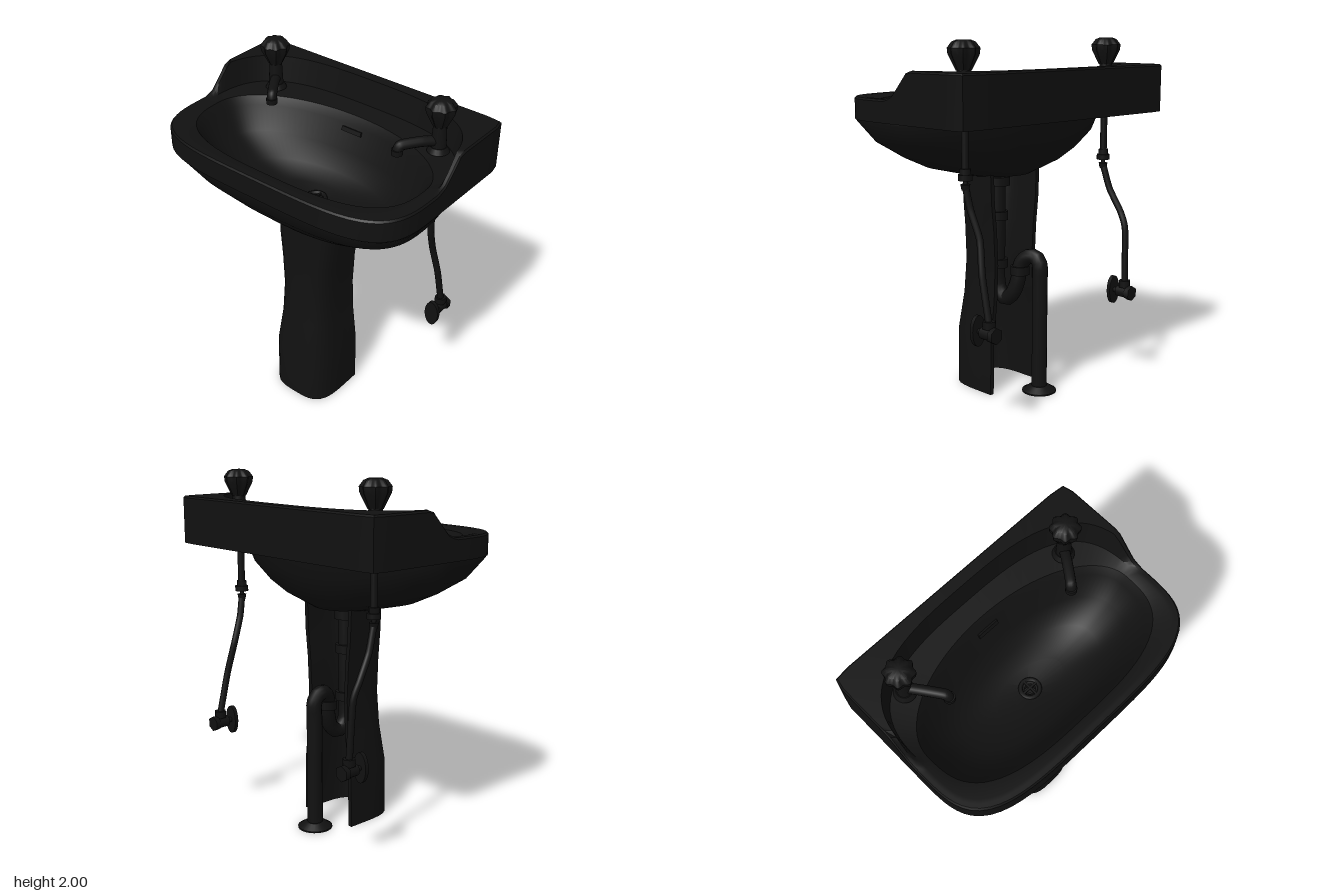
import * as THREE from 'three';
import { toCreasedNormals } from 'three/addons/utils/BufferGeometryUtils.js';

const glaze = new THREE.MeshStandardMaterial({ color: 0x111111, side: THREE.DoubleSide });
const V = (x, y, z) => new THREE.Vector3(x, y, z);

function add(parent, name, geometry, x = 0, y = 0, z = 0) {
  const mesh = new THREE.Mesh(geometry, glaze);
  mesh.name = name;
  mesh.position.set(x, y, z);
  parent.add(mesh);
  return mesh;
}

// Skin a list of closed loops of equal length
function loft(loops, crease = 0.6) {
  const n = loops[0].length, pos = [], idx = [];
  loops.forEach(loop => loop.forEach(p => pos.push(p.x, p.y, p.z)));
  for (let j = 0; j < loops.length - 1; j++) {
    for (let i = 0; i < n; i++) {
      const a = j * n + i, b = j * n + (i + 1) % n;
      idx.push(a, a + n, b, b, a + n, b + n);
    }
  }
  const g = new THREE.BufferGeometry();
  g.setAttribute('position', new THREE.Float32BufferAttribute(pos, 3));
  g.setIndex(idx);
  return toCreasedNormals(g, crease);
}

// Superellipse loop with its own squareness at the front and the back
function ring([hx, front, back, y, nf = 4, nb = 40], count = 96) {
  const z0 = 0.04, pts = [];
  for (let i = 0; i < count; i++) {
    const u = i / count * Math.PI * 2, c = Math.cos(u), s = Math.sin(u);
    const n = s >= 0 ? nf : nb;
    const r = Math.pow(Math.abs(c) ** n + Math.abs(s) ** n, -1 / n);
    const z = z0 + r * s * (s >= 0 ? front - z0 : z0 - back);
    pts.push(V(hx * r * c, typeof y === 'function' ? y(z) : y, z));
  }
  return pts;
}

// Rim height: low at the front, sweeping up to the splashback
function rimHeight(z) {
  if (z > 0.06) return 1.7;
  if (z > 0) return 1.7 + 0.025 * (0.06 - z) / 0.06;
  return Math.min(1.85, 1.725 - z * 1.05);
}

function tube(points, radius, tension = 0.3) {
  const curve = new THREE.CatmullRomCurve3(points.map(p => V(...p)), false, 'catmullrom', tension);
  return new THREE.TubeGeometry(curve, 64, radius, 12);
}

function makeBasin() {
  const g = new THREE.Group();
  g.name = 'basin';
  add(g, 'basinTop', loft([
    [0.75, 0.48, -0.48, 1.67],
    [0.75, 0.48, -0.48, 1.58],
    [0.79, 0.52, -0.52, 1.58],
    [0.79, 0.52, -0.52, z => rimHeight(z) - 0.01],
    [0.782, 0.512, -0.512, rimHeight],
    [0.765, 0.49, -0.45, rimHeight, 4, 3],
    [0.745, 0.475, -0.43, 1.7, 4, 3],
    [0.7, 0.43, -0.32, 1.685, 3, 2],
    [0.67, 0.4, -0.29, 1.64, 3, 2],
    [0.6, 0.34, -0.24, 1.5, 2.6, 2],
    [0.45, 0.26, -0.17, 1.39, 2.4, 2],
    [0.22, 0.15, -0.07, 1.34, 2, 2],
    [0.03, 0.07, 0.01, 1.325, 2, 2],
  ].map(r => ring(r))));
  add(g, 'bowlUnderside', loft([
    [0.01, 0.05, 0.03, 1.24, 2, 2],
    [0.2, 0.23, -0.14, 1.25, 2.4, 2],
    [0.45, 0.32, -0.21, 1.31, 2.6, 2],
    [0.58, 0.38, -0.255, 1.37, 2.8, 2],
    [0.72, 0.455, -0.29, 1.46, 3.2, 2],
    [0.785, 0.51, -0.315, 1.57, 4, 2],
    [0.785, 0.515, -0.32, 1.61, 4, 2],
    [0.74, 0.47, -0.32, 1.68, 4, 2],
  ].map(r => ring(r)), 0.9));
  // Waste fitting and overflow slot
  const waste = add(g, 'drainRing', new THREE.TorusGeometry(0.052, 0.012, 8, 24), 0, 1.335, 0.04);
  waste.rotation.x = Math.PI / 2;
  for (let i = 0; i < 2; i++) {
    add(g, 'drainGrate', new THREE.BoxGeometry(0.1, 0.01, 0.012), 0, 1.34, 0.04).rotation.y = i * Math.PI / 2;
  }
  add(g, 'overflowSlot', new THREE.BoxGeometry(0.13, 0.025, 0.02), 0, 1.61, -0.275).rotation.x = -0.35;
  return g;
}

// Hollow pedestal, open at the back
function makePedestal() {
  const levels = [[0, 0.2, 0.25], [0.33, 0.195, 0.25], [0.55, 0.17, 0.215], [0.75, 0.162, 0.2],
    [0.95, 0.172, 0.2], [1.1, 0.188, 0.2], [1.27, 0.195, 0.2]];
  const back = -0.1, wall = 0.025, steps = 20;
  const loops = levels.map(([y, hx, front]) => {
    const arc = inset => Array.from({ length: steps + 1 }, (_, i) => {
      const u = i / steps * Math.PI, c = Math.cos(u), s = Math.sin(u);
      const r = Math.pow(Math.abs(c) ** 3.5 + s ** 3.5, -1 / 3.5);
      return V((hx - inset) * r * c, y, (front - inset) * r * s);
    });
    return [V(hx, y, back), ...arc(0), V(-hx, y, back),
      V(wall - hx, y, back), ...arc(wall).reverse(), V(hx - wall, y, back)];
  });
  const mesh = new THREE.Mesh(loft(loops), glaze);
  mesh.name = 'pedestal';
  return mesh;
}

function makeTap(side) {
  const g = new THREE.Group();
  g.name = side > 0 ? 'leftTap' : 'rightTap';
  const x = side * 0.555, z = -0.28;
  add(g, 'tapBase', new THREE.CylinderGeometry(0.045, 0.06, 0.03, 20), x, 1.715, z);
  add(g, 'tapBody', new THREE.CylinderGeometry(0.035, 0.042, 0.16, 20), x, 1.79, z);
  // Fluted handle
  const profile = [[0, 1.85], [0.04, 1.85], [0.055, 1.88], [0.08, 1.93], [0.083, 1.96], [0.06, 1.99], [0.035, 2], [0, 2]];
  const knob = new THREE.LatheGeometry(profile.map(p => new THREE.Vector2(...p)), 48);
  const p = knob.attributes.position;
  for (let i = 0; i < p.count; i++) {
    const k = 0.92 + 0.08 * Math.cos(8 * Math.atan2(p.getZ(i), p.getX(i)));
    p.setX(i, p.getX(i) * k);
    p.setZ(i, p.getZ(i) * k);
  }
  add(g, 'tapHandle', toCreasedNormals(knob, 0.6), x, 0, z);
  // Spout reaching over the bowl
  add(g, 'spout', tube([[x, 1.76, z], [side * 0.5, 1.77, -0.2], [side * 0.435, 1.765, -0.11], [side * 0.425, 1.725, -0.095]], 0.028));
  add(g, 'nozzle', new THREE.CylinderGeometry(0.031, 0.031, 0.03, 16), side * 0.425, 1.73, -0.095);
  return g;
}

function makeSupply(side) {
  const g = new THREE.Group();
  g.name = side > 0 ? 'leftSupply' : 'rightSupply';
  const x = side * 0.55, z = -0.28, vx = side * 0.556, vz = -0.455;
  add(g, 'tapTail', new THREE.CylinderGeometry(0.02, 0.02, 0.38, 12), x, 1.52, z);
  add(g, 'tailNut', new THREE.CylinderGeometry(0.03, 0.03, 0.03, 6), x, 1.345, z);
  add(g, 'lockNut', new THREE.CylinderGeometry(0.038, 0.038, 0.03, 12), x, 1.315, z);
  add(g, 'hoseNeck', new THREE.CylinderGeometry(0.012, 0.012, 0.06, 8), x, 1.29, z);
  add(g, 'hoseCollar', new THREE.CylinderGeometry(0.026, 0.02, 0.03, 12), x, 1.265, z);
  const path = side > 0
    ? [[x, 1.27, z], [0.54, 1.15, -0.305], [0.528, 1, -0.36], [0.55, 0.82, -0.4], [vx, 0.58, vz]]
    : [[x, 1.27, z], [-0.56, 1.13, -0.325], [-0.572, 1, -0.4], [-0.567, 0.9, -0.44], [vx, 0.58, vz]];
  add(g, 'hose', tube(path, 0.019));
  // Shut-off valve with an oval handle facing the front
  add(g, 'valveNut', new THREE.CylinderGeometry(0.035, 0.035, 0.04, 6), vx, 0.58, vz);
  const along = (name, r, len, cz, seg) => {
    const m = add(g, name, new THREE.CylinderGeometry(r, r, len, seg), vx, 0.53, cz);
    m.rotation.x = Math.PI / 2;
    return m;
  };
  along('valveBody', 0.033, 0.1, -0.46, 16);
  along('wallNut', 0.044, 0.03, -0.495, 6);
  along('valveStem', 0.015, 0.06, -0.395, 10);
  along('valveHandle', 0.045, 0.022, -0.37, 24).scale.z = 1.85;
  return g;
}

function makeWaste() {
  const g = new THREE.Group();
  g.name = 'wastePipe';
  add(g, 'trap', tube([[0, 1.3, 0.04], [0, 0.9, 0.04], [0, 0.62, 0.04], [0, 0.54, 0.01], [0, 0.52, -0.03],
    [0, 0.56, -0.08], [-0.01, 0.64, -0.11], [-0.02, 0.73, -0.12], [-0.035, 0.78, -0.16],
    [-0.05, 0.785, -0.21], [-0.05, 0.74, -0.245], [-0.05, 0.6, -0.245], [-0.05, 0.02, -0.245]], 0.044, 0.5));
  for (const [x, y, z, r] of [[0, 1.2, 0.04, 0.07], [0, 1, 0.04, 0.06], [0, 0.72, 0.04, 0.06], [-0.018, 0.7, -0.118, 0.056]]) {
    add(g, 'pipeNut', new THREE.CylinderGeometry(r, r, 0.05, 12), x, y, z);
  }
  add(g, 'floorFlange', new THREE.CylinderGeometry(0.055, 0.098, 0.03, 24), -0.05, 0.02, -0.245);
  add(g, 'flangePlate', new THREE.CylinderGeometry(0.098, 0.098, 0.008, 24), -0.05, 0.004, -0.245);
  return g;
}

export function createModel() {
  const model = new THREE.Group();
  model.name = 'pedestalSink';
  model.add(makeBasin(), makePedestal(), makeWaste());
  for (const side of [1, -1]) model.add(makeTap(side), makeSupply(side));
  return model;
}
